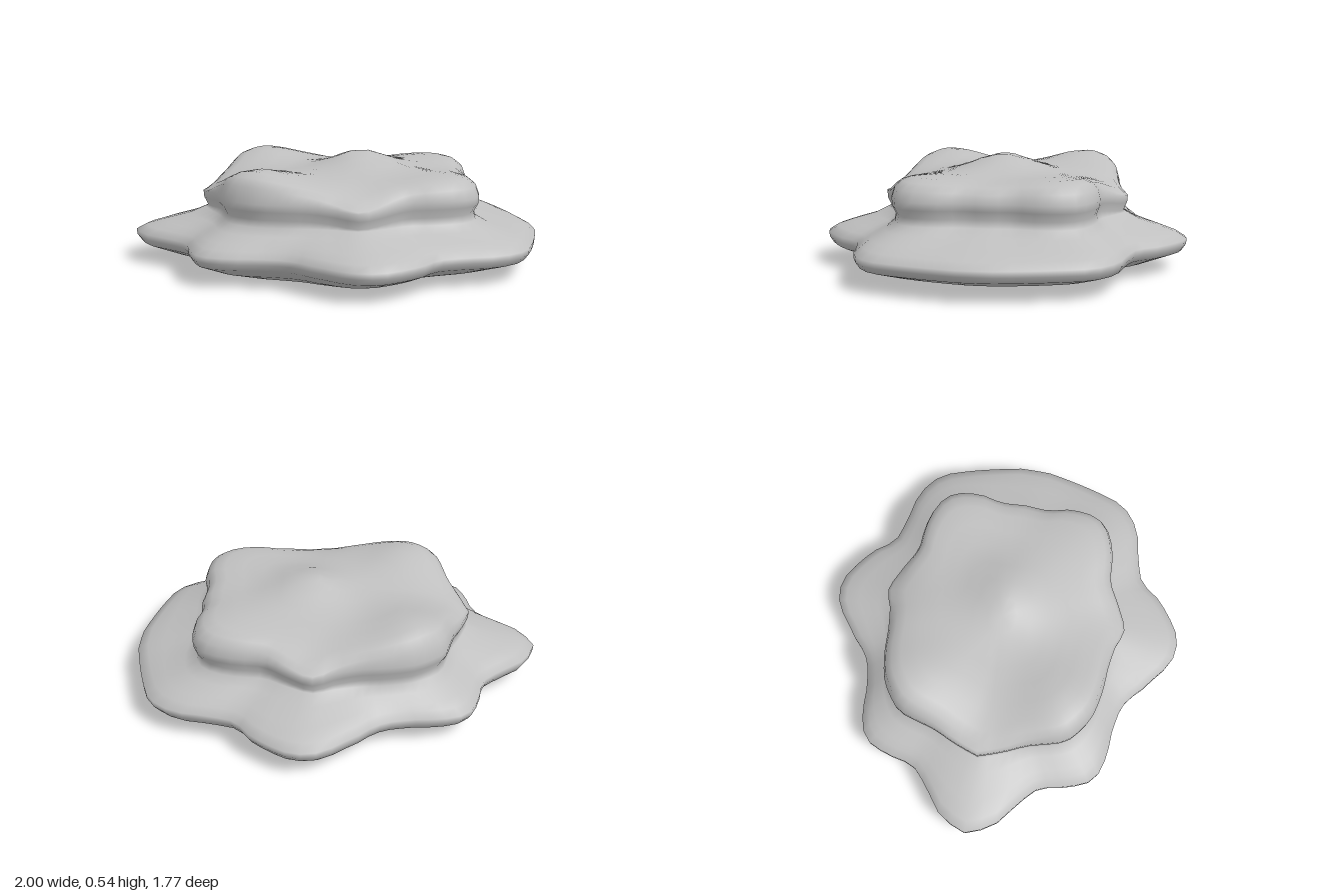
import * as THREE from 'three';

// Half outlines (x, z) from +x round the front to -x; the back mirrors them.
const BASE = [[1, 0], [0.995, 0.1], [0.93, 0.36], [0.87, 0.5], [0.75, 0.59], [0.6, 0.62], [0.46, 0.66],
  [0.36, 0.77], [0.2, 0.875], [0.05, 0.87], [-0.09, 0.77], [-0.21, 0.67], [-0.35, 0.63], [-0.5, 0.62],
  [-0.63, 0.57], [-0.69, 0.44], [-0.72, 0.32], [-0.8, 0.24], [-0.94, 0.13], [-1, 0]];
const UPPER = [[0.67, 0], [0.66, 0.13], [0.68, 0.2], [0.68, 0.3], [0.66, 0.38], [0.6, 0.44], [0.48, 0.48],
  [0.33, 0.495], [0.22, 0.55], [0.1, 0.6], [0, 0.57], [-0.12, 0.55], [-0.25, 0.54], [-0.38, 0.51],
  [-0.5, 0.43], [-0.54, 0.35], [-0.57, 0.24], [-0.62, 0.12], [-0.66, 0]];

// Turns a half outline into a radius for any angle.
function radiusFunction(points) {
  const samples = new THREE.SplineCurve(points.map(p => new THREE.Vector2(...p))).getPoints(300)
    .map(p => ({ angle: Math.atan2(Math.abs(p.y), p.x), r: p.length() }));
  return theta => {
    const a = theta > Math.PI ? 2 * Math.PI - theta : theta;
    return samples.reduce((best, s) => Math.abs(s.angle - a) < Math.abs(best.angle - a) ? s : best).r;
  };
}

const bump = (x, z, cx, cz, w) => Math.exp(-((x - cx) ** 2 + (Math.abs(z) - cz) ** 2) / (w * w));

// Rolling height of the top face.
function topHeight(x, z) {
  return 0.45 + 0.095 * bump(x, z, 0.13, 0, 0.2) + 0.06 * bump(x, z, -0.36, 0.36, 0.2)
    + 0.025 * bump(x, z, 0.5, 0.3, 0.2) - 0.06 * bump(x, z, 0.11, 0.6, 0.17) - 0.06 * bump(x, z, -0.66, 0, 0.2);
}

function buildRock(material) {
  const N = 80;
  const baseR = radiusFunction(BASE), upperR = radiusFunction(UPPER);
  // Wall rings: height and radius from the two outlines (b = base, u = upper)
  const walls = [
    [0, b => 0.4 * b + 0.23],
    [0.04, b => 0.68 * b + 0.13],
    [0.09, b => 0.975 * b],
    [0.12, b => 0.998 * b],
    [0.148, b => b],
    [0.175, b => 0.95 * b],
    [0.2, (b, u) => 0.6 * b + 0.4 * u * 0.98],
    [0.232, (b, u) => 0.25 * b + 0.75 * u * 0.97],
    [0.265, (b, u) => 0.06 * b + 0.9 * u],
    [0.3, (b, u) => 0.965 * u],
    [0.34, (b, u) => 0.995 * u],
    [0.375, (b, u) => u],
  ];
  // Top rings: share of the upper radius and drop below the top surface
  const tops = [[0.975, 0.04], [0.92, 0.013], [0.84, 0.002], [0.7, 0], [0.55, 0], [0.4, 0], [0.25, 0], [0.12, 0]];
  const pos = [], index = [];
  const ring = place => {
    for (let i = 0; i < N; i++) {
      const t = i / N * Math.PI * 2;
      const [r, yOf] = place(baseR(t), upperR(t));
      const x = r * Math.cos(t), z = r * Math.sin(t);
      pos.push(x, yOf(x, z), z);
    }
  };
  walls.forEach(([y, f]) => ring((b, u) => [f(b, u), (x, z) =>
    y < 0.3 ? y : y - 0.03 * (bump(x, z, 0.11, 0.6, 0.17) + bump(x, z, -0.66, 0, 0.17))]));
  tops.forEach(([s, drop]) => ring((b, u) => [s * u, (x, z) => topHeight(x, z) - drop]));
  const rings = walls.length + tops.length;
  for (let k = 0; k < rings - 1; k++) {
    for (let i = 0; i < N; i++) {
      const a = k * N + i, b = k * N + (i + 1) % N;
      index.push(a, a + N, b, b, a + N, b + N);
    }
  }
  // Close the top at its centre
  const centre = pos.length / 3, last = (rings - 1) * N;
  pos.push(0, topHeight(0, 0), 0);
  for (let i = 0; i < N; i++) index.push(last + i, centre, last + (i + 1) % N);

  const body = new THREE.BufferGeometry();
  body.setAttribute('position', new THREE.Float32BufferAttribute(pos, 3));
  body.setIndex(index);
  body.computeVertexNormals();

  // Flat underside with its own sharp edge
  const foot = new THREE.BufferGeometry();
  foot.setAttribute('position', new THREE.Float32BufferAttribute([...pos.slice(0, N * 3), 0, 0, 0], 3));
  foot.setIndex(Array.from({ length: N }, (_, i) => [N, i, (i + 1) % N]).flat());
  foot.computeVertexNormals();

  return [['rockBody', body], ['underside', foot]].map(([name, geometry]) => {
    const mesh = new THREE.Mesh(geometry, material);
    mesh.name = name;
    return mesh;
  });
}

export function createModel() {
  const stone = new THREE.MeshStandardMaterial({ color: 0xc0c0c0 });
  stone.name = 'greyStone';
  const group = new THREE.Group();
  group.name = 'layeredRock';
  group.add(...buildRock(stone));
  return group;
}
